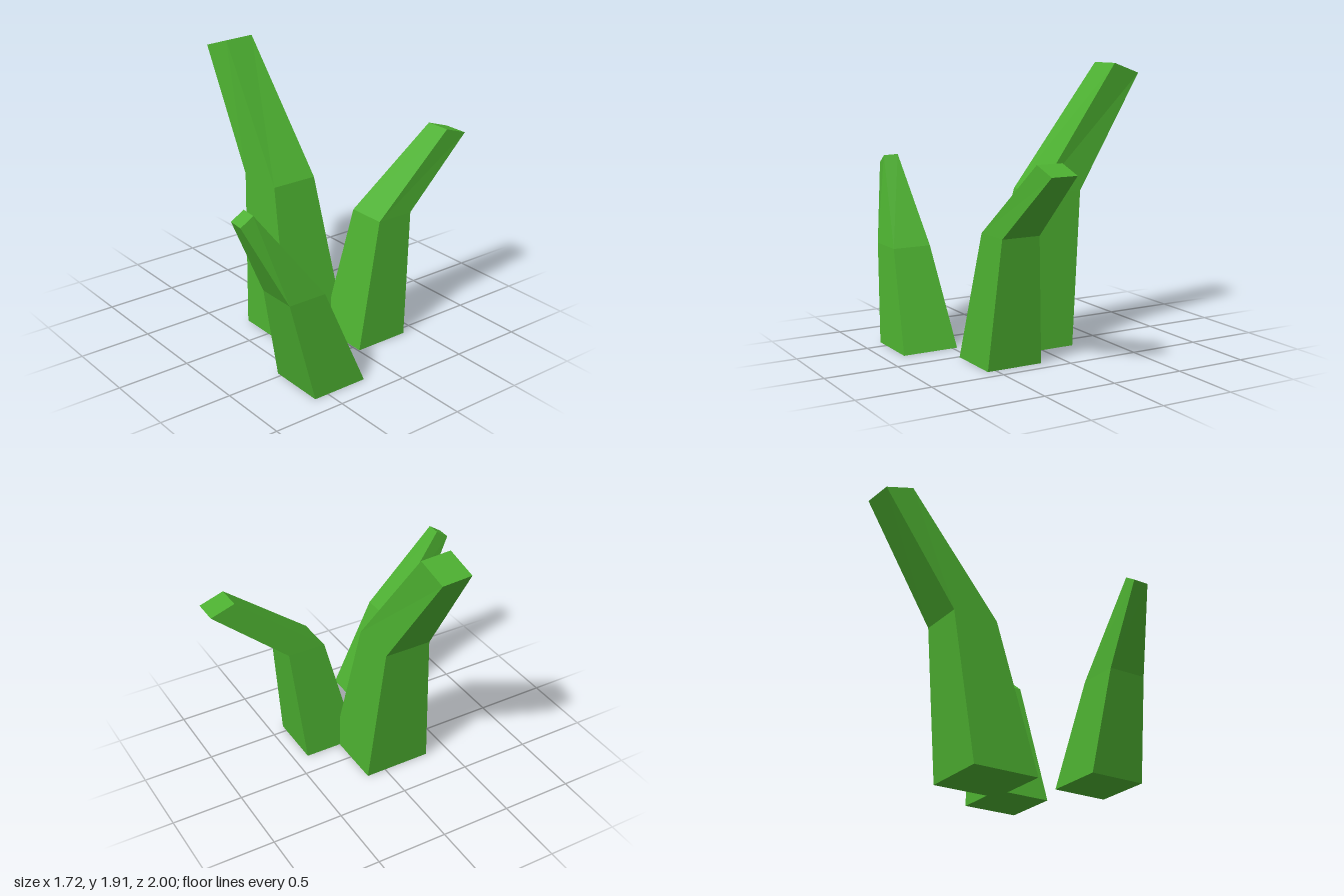
import * as THREE from 'three';

const material = new THREE.MeshStandardMaterial({ color: 0x4caf30, flatShading: true });

// Level rectangle, corners ordered counter-clockwise seen from above
const level = (x0, x1, y, z0, z1) => [[x0, y, z0], [x0, y, z1], [x1, y, z1], [x1, y, z0]];

// Joins four-cornered cross-sections, bottom to top, into a closed faceted blade
function makeBlade(name, rings) {
  const index = [];
  const quad = (a, b, c, d) => index.push(a, b, c, a, c, d);
  const last = (rings.length - 1) * 4;
  quad(3, 2, 1, 0);
  for (let r = 0; r < last; r += 4) {
    for (let i = 0; i < 4; i++) {
      const j = (i + 1) % 4;
      quad(r + i, r + j, r + 4 + j, r + 4 + i);
    }
  }
  quad(last, last + 1, last + 2, last + 3);

  const indexed = new THREE.BufferGeometry();
  indexed.setAttribute('position', new THREE.Float32BufferAttribute(rings.flat(2), 3));
  indexed.setIndex(index);
  const geometry = indexed.toNonIndexed();
  geometry.computeVertexNormals();
  const mesh = new THREE.Mesh(geometry, material);
  mesh.name = name;
  return mesh;
}

export function createModel() {
  const group = new THREE.Group();
  group.name = 'grassTuft';

  // Tall blade bending to the right
  group.add(makeBlade('tallBlade', [
    level(-0.24, 0.24, 0, -0.14, 0.34),
    level(-0.345, -0.015, 1.055, -0.065, 0.265),
    [[-0.862, 1.838, 0], [-0.845, 1.838, 0.22], [-0.635, 1.91, 0.202], [-0.652, 1.91, -0.018]],
  ]));

  // Medium blade bending backwards
  group.add(makeBlade('backBlade', [
    level(0.165, 0.558, 0, -0.4, -0.008),
    level(0.227, 0.497, 0.86, -0.483, -0.213),
    [[0.277, 1.303, -1], [0.277, 1.36, -0.83], [0.455, 1.36, -0.83], [0.455, 1.303, -1]],
  ]));

  // Short blade bending forwards
  group.add(makeBlade('frontBlade', [
    level(0.467, 0.86, 0, 0.207, 0.6),
    level(0.53, 0.8, 0.67, 0.48, 0.75),
    [[0.567, 1.262, 0.908], [0.56, 1.205, 0.995], [0.664, 1.2, 1], [0.671, 1.258, 0.913]],
  ]));

  return group;
}
